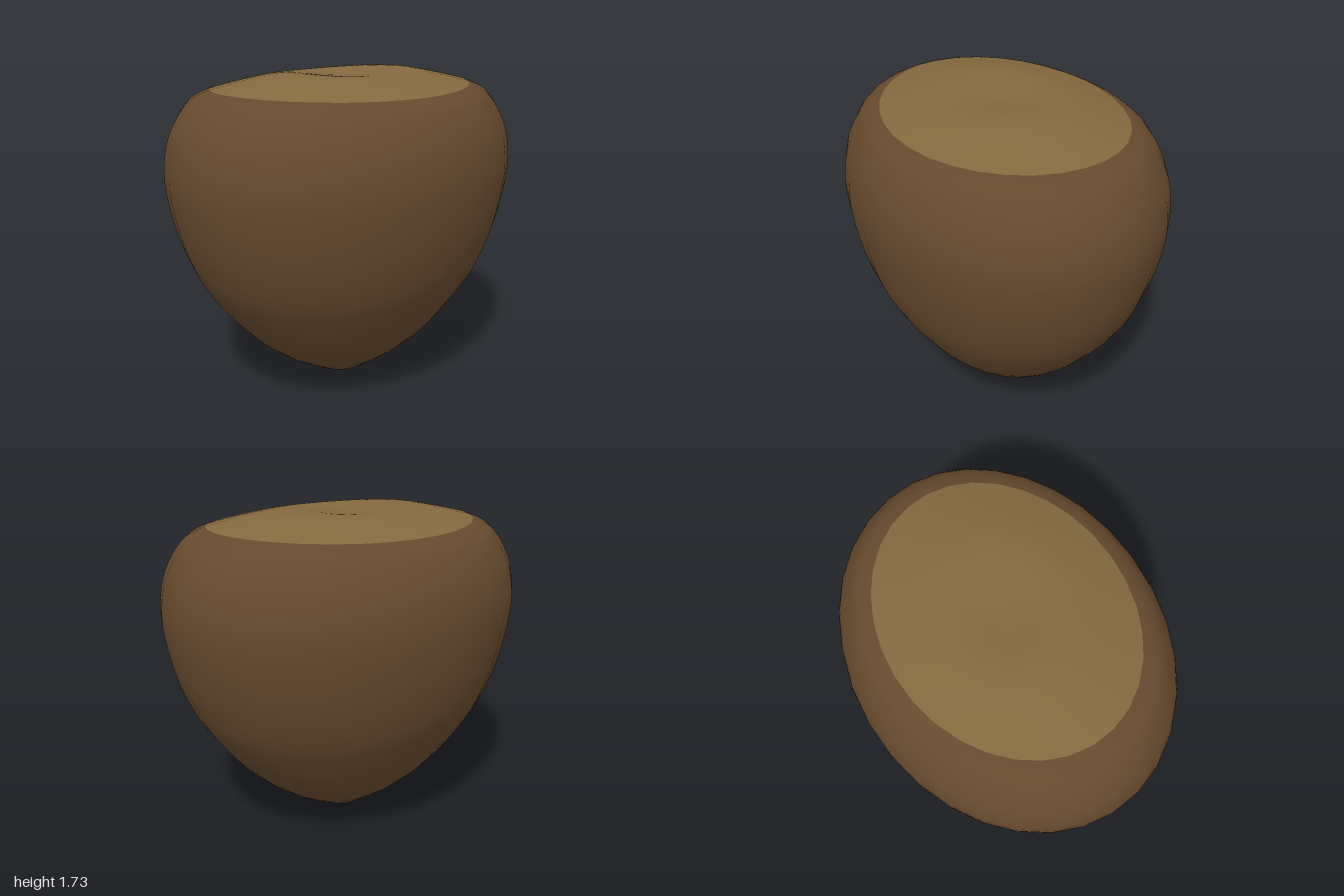
import * as THREE from 'three';
import { mergeVertices } from 'three/addons/utils/BufferGeometryUtils.js';

const DEPTH = 0.795; // oval plan: depth relative to width

// Smooth oval lathe whose top rises slightly towards the left and right ends
function ovalLathe(name, profile, rings, color) {
  const curve = new THREE.SplineCurve(profile.map(([r, y]) => new THREE.Vector2(r, y)));
  const points = curve.getPoints(rings);
  points.forEach((p) => { p.x = Math.max(p.x, 0); });
  let geo = new THREE.LatheGeometry(points, 32);
  const pos = geo.attributes.position;
  for (let i = 0; i < pos.count; i++) {
    const x = pos.getX(i), y = pos.getY(i), z = pos.getZ(i);
    const r = Math.hypot(x, z);
    const cos2 = r > 1e-6 ? (x * x - z * z) / (r * r) : 0;
    const fade = THREE.MathUtils.smoothstep(y, 1.1, 1.6) * Math.min(1, r / 0.3);
    pos.setXYZ(i, x, y + 0.009 * cos2 * fade, z * DEPTH);
  }
  // weld seam and poles for continuous normals
  geo.deleteAttribute('uv');
  geo.deleteAttribute('normal');
  geo = mergeVertices(geo, 1e-4);
  geo.computeVertexNormals();
  const mesh = new THREE.Mesh(geo, new THREE.MeshStandardMaterial({ color }));
  mesh.name = name;
  return mesh;
}

export function createModel() {
  const group = new THREE.Group();
  group.name = 'nut';

  // Shell: pointed tip, wide belly and rounded shoulder
  group.add(ovalLathe('shell', [
    [0, 0], [0.1, 0.035], [0.2, 0.085], [0.4, 0.2], [0.6, 0.365], [0.8, 0.61],
    [0.9, 0.8], [0.965, 1.0], [1, 1.22], [0.98, 1.39], [0.93, 1.505],
    [0.875, 1.58], [0.835, 1.613], [0.79, 1.635], [0.745, 1.65],
  ], 48, 0x664a2e));

  // Pale base scar closing the top, with a shallow central dimple
  group.add(ovalLathe('baseScar', [
    [0.745, 1.65], [0.6, 1.683], [0.45, 1.712], [0.35, 1.721],
    [0.25, 1.72], [0.12, 1.708], [0, 1.702],
  ], 20, 0x84693f));

  return group;
}
